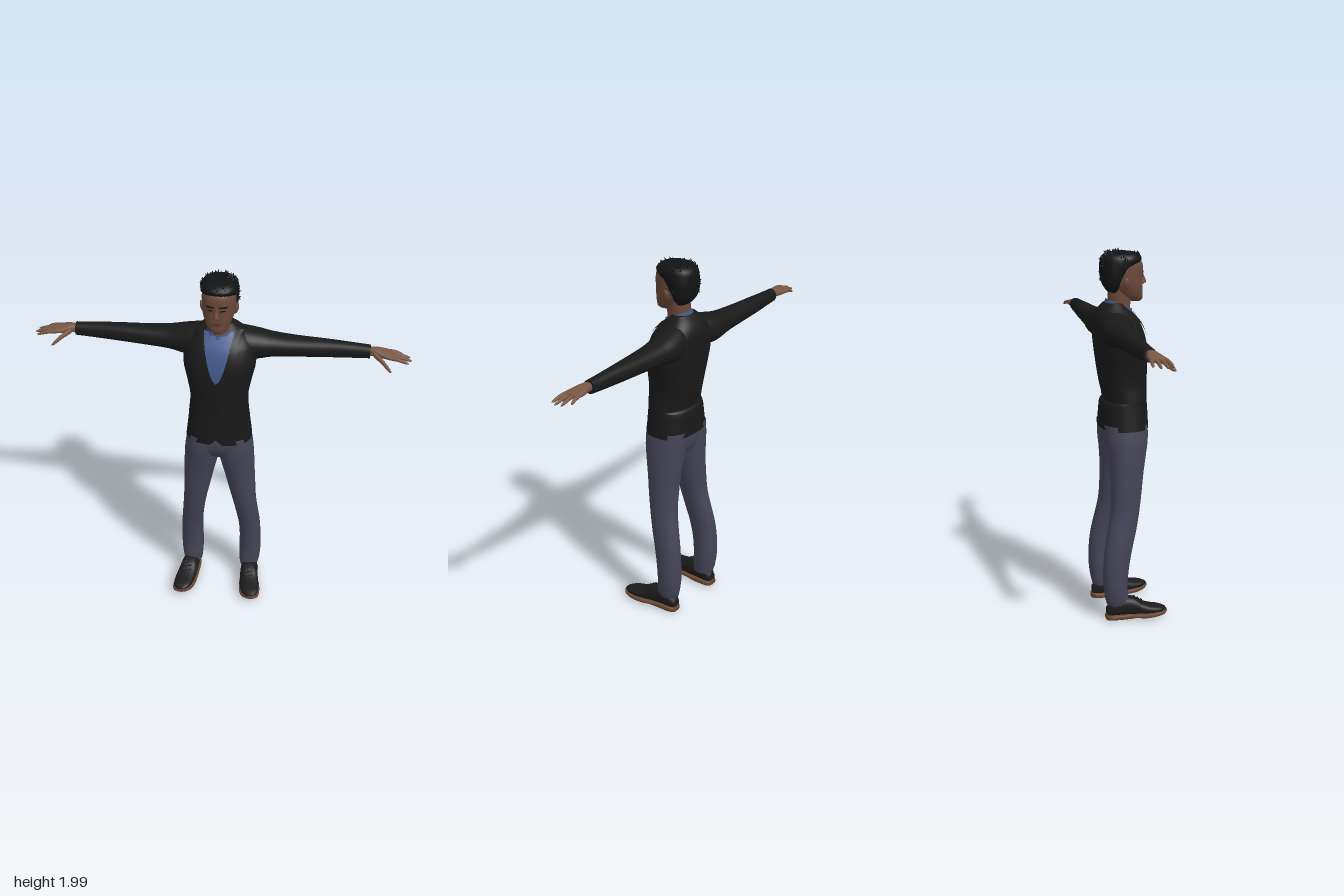
import * as THREE from 'three';
import { mergeGeometries } from 'three/addons/utils/BufferGeometryUtils.js';

const mat = (name, color) => Object.assign(new THREE.MeshStandardMaterial({ color }), { name });
const M = {
  jacket: mat('jacket black', 0x191919),
  trousers: mat('trouser slate', 0x454457),
  shirt: mat('shirt blue', 0x43598a),
  face: mat('face skin', 0x694838),
  hand: mat('hand skin', 0x785745),
  lips: mat('lip brown', 0x553229),
  hair: mat('hair black', 0x121314),
  shoe: mat('shoe black', 0x1b1b1d),
  sole: mat('sole brown', 0x6a4631),
};

// Rows are [t, u0, u1, v0, v1]: extents of a cross-section at position t.
function at(rows, t) {
  const last = rows.length - 1;
  let i = 0;
  while (i < last - 1 && t > rows[i + 1][0]) i++;
  const a = rows[i], b = rows[i + 1], h = b[0] - a[0];
  const s = Math.min(1, Math.max(0, (t - a[0]) / h));
  const slope = (j, k) => {
    const p = rows[Math.max(0, j - 1)], q = rows[Math.min(last, j + 1)];
    return (q[k] - p[k]) / (q[0] - p[0]);
  };
  return [1, 2, 3, 4].map(k =>
    a[k] * (1 + 2 * s) * (1 - s) ** 2 + b[k] * s * s * (3 - 2 * s) +
    h * s * (1 - s) * (slope(i, k) * (1 - s) - slope(i + 1, k) * s));
}

// Smooth loft of superellipse sections along an axis
function loft(axis, rows, { n = 2.2, segs = 28, sub = 4, caps = true } = {}) {
  const pos = [], idx = [], flip = axis === 'y';
  const put = (t, u, v) => pos.push(...(axis === 'x' ? [t, u, v] : axis === 'y' ? [u, t, v] : [u, v, t]));
  const tri = (a, b, c) => (flip ? idx.push(a, c, b) : idx.push(a, b, c));
  const ts = [rows[0][0]];
  for (let i = 1; i < rows.length; i++)
    for (let k = 1; k <= sub; k++) ts.push(rows[i - 1][0] + (rows[i][0] - rows[i - 1][0]) * k / sub);
  const pw = c => Math.sign(c) * Math.abs(c) ** (2 / n);
  const ring = t => {
    const [u0, u1, v0, v1] = at(rows, t), start = pos.length / 3;
    for (let j = 0; j < segs; j++) {
      const th = j / segs * Math.PI * 2;
      put(t, (u0 + u1) / 2 + (u1 - u0) / 2 * pw(Math.cos(th)), (v0 + v1) / 2 + (v1 - v0) / 2 * pw(Math.sin(th)));
    }
    return start;
  };
  const starts = ts.map(ring);
  for (let i = 0; i + 1 < starts.length; i++)
    for (let j = 0; j < segs; j++) {
      const k = (j + 1) % segs, p = starts[i], q = starts[i + 1];
      tri(p + j, p + k, q + k);
      tri(p + j, q + k, q + j);
    }
  if (caps) [ts[0], ts[ts.length - 1]].forEach((t, end) => {
    const s = ring(t), [u0, u1, v0, v1] = at(rows, t), c = pos.length / 3;
    put(t, (u0 + u1) / 2, (v0 + v1) / 2);
    for (let j = 0; j < segs; j++) {
      const k = (j + 1) % segs;
      end ? tri(c, s + j, s + k) : tri(c, s + k, s + j);
    }
  });
  return build(pos, idx);
}

function build(pos, idx) {
  const g = new THREE.BufferGeometry();
  g.setAttribute('position', new THREE.Float32BufferAttribute(pos, 3));
  g.setIndex(idx);
  g.computeVertexNormals();
  return g;
}

// Thin panel that follows the front of a y-axis loft
function panel(rows, n, y0, y1, left, right, lift, N = 14) {
  const pos = [], idx = [];
  for (let i = 0; i <= N; i++) for (let j = 0; j <= N; j++) {
    const y = y0 + (y1 - y0) * i / N, l = left(y), x = l + (right(y) - l) * j / N;
    const [x0, x1, z0, z1] = at(rows, y);
    const f = Math.min(0.97, Math.abs(x / ((x1 - x0) / 2)));
    pos.push(x, y, (z0 + z1) / 2 + (z1 - z0) / 2 * (1 - f ** n) ** (1 / n) + lift);
    if (i < N && j < N) {
      const a = i * (N + 1) + j, d = a + N + 1;
      idx.push(a, a + 1, d + 1, a, d + 1, d);
    }
  }
  return build(pos, idx);
}

function mirrored(geo) {
  const g = geo.clone().scale(-1, 1, 1), ix = g.index.array;
  for (let i = 0; i < ix.length; i += 3) [ix[i], ix[i + 1]] = [ix[i + 1], ix[i]];
  g.computeVertexNormals();
  return g;
}

export function createModel() {
  const model = new THREE.Group();
  model.name = 'standingMan';
  const add = (name, geo, m) => {
    const mesh = new THREE.Mesh(geo, m);
    mesh.name = name;
    model.add(mesh);
  };
  const pair = (name, geo, m) => { add('left' + name, geo, m); add('right' + name, mirrored(geo), m); };
  const sym = rows => rows.map(([y, w, z0, z1]) => [y, -w, w, z0, z1]);

  // Jacket body
  const torso = sym([[1.045, .177, -.145, .115], [1.12, .168, -.14, .112], [1.185, .161, -.132, .108],
    [1.197, .16, -.119, .108], [1.3, .153, -.14, .108], [1.4, .17, -.155, .11], [1.5, .19, -.166, .104],
    [1.6, .178, -.172, .075], [1.65, .148, -.162, .04], [1.69, .1, -.138, .005], [1.715, .07, -.112, -.02]]);
  add('jacketBody', loft('y', torso, { n: 2.4, segs: 48 }), M.jacket);
  pair('Sleeve', loft('x', [[.08, 1.53, 1.685, -.15, 0], [.14, 1.505, 1.672, -.168, .012], [.2, 1.507, 1.658, -.17, 0],
    [.27, 1.52, 1.643, -.162, -.016], [.4, 1.528, 1.633, -.15, -.03], [.55, 1.534, 1.629, -.138, -.045],
    [.7, 1.542, 1.622, -.125, -.055], [.775, 1.547, 1.618, -.12, -.056]]), M.jacket);

  // Shirt front, lapels, hem notch and buttons
  const vee = y => .078 * Math.max(0, (y - 1.43) / .25) ** .6;
  add('shirtFront', panel(torso, 2.4, 1.43, 1.685, y => -vee(y), vee, .004), M.shirt);
  pair('Lapel', panel(torso, 2.4, 1.42, 1.69, vee, y => vee(y) + .045 * Math.min(1, (y - 1.42) / .12), .009), M.jacket);
  add('hemNotch', panel(torso, 2.4, 1.045, 1.08, y => y - 1.08, y => 1.08 - y, .003), M.trousers);
  for (const y of [1.25, 1.36]) {
    add('jacketButton', new THREE.CylinderGeometry(.008, .008, .006, 12).rotateX(Math.PI / 2).translate(0, y, .112), M.hair);
  }

  // Shirt collar, higher at the nape
  const collar = loft('y', sym([[1.61, .076, -.115, .045], [1.66, .07, -.11, .04], [1.695, .064, -.104, .034]]), { caps: false });
  const cp = collar.attributes.position;
  for (let i = 0; i < cp.count; i++) cp.setY(i, cp.getY(i) - .4 * cp.getZ(i));
  collar.computeVertexNormals();
  add('shirtCollar', collar, M.shirt);
  pair('CollarPoint', panel(torso, 2.4, 1.615, 1.675, y => .045 - (y - 1.615) * .7, y => .052 + (y - 1.615) * .3, .013), M.shirt);

  // Neck and head
  add('neck', loft('y', sym([[1.62, .06, -.1, .025], [1.7, .057, -.096, .026], [1.79, .06, -.09, .035]])), M.face);
  const head = sym([[1.718, .022, .03, .082], [1.73, .042, .0, .092], [1.755, .062, -.05, .094], [1.8, .08, -.08, .092],
    [1.84, .085, -.1, .092], [1.88, .087, -.11, .095], [1.92, .085, -.11, .09], [1.95, .072, -.1, .068], [1.972, .04, -.06, .03]]);
  add('head', loft('y', head, { segs: 36 }), M.face);
  add('nose', loft('y', [[1.806, -.009, .009, .08, .098], [1.814, -.017, .017, .075, .112], [1.824, -.014, .014, .075, .114],
    [1.85, -.009, .009, .075, .103], [1.872, -.008, .008, .075, .096]], { segs: 14 }), M.face);
  pair('Ear', new THREE.SphereGeometry(1, 14, 10).scale(.012, .032, .02).rotateZ(-.2).translate(.087, 1.822, -.015), M.face);
  const face = (y0, y1, x0, x1) => panel(head, 2.2, y0, y1, () => x0, () => x1, .002, 4);
  pair('Eyebrow', face(1.871, 1.88, .014, .054), M.hair);
  pair('Eye', face(1.851, 1.858, .02, .046), M.hair);
  add('upperLip', face(1.778, 1.785, -.026, .026), M.lips);
  add('lowerLip', face(1.767, 1.776, -.02, .02), M.lips);

  // Hair cap with tousled tufts
  const cap = sym([[1.772, .055, -.095, -.05], [1.8, .08, -.115, -.035], [1.83, .089, -.127, -.022], [1.87, .094, -.135, .012],
    [1.9, .096, -.136, .036], [1.922, .097, -.135, .07], [1.942, .096, -.132, .086], [1.96, .088, -.122, .078],
    [1.976, .065, -.095, .052], [1.982, .03, -.06, .015]]);
  add('hairCap', loft('y', cap, { n: 2.3, segs: 32 }), M.hair);
  let seed = 7;
  const rnd = () => (seed = (seed * 16807) % 2147483647) / 2147483647;
  const tufts = [], up = new THREE.Vector3(0, 1, 0);
  for (let i = 0; i < 150; i++) {
    const y = 1.81 + .17 * Math.sqrt(rnd()), th = rnd() * Math.PI * 2;
    const [x0, x1, z0, z1] = at(cap, y), c = Math.cos(th), s = Math.sin(th);
    if (s > .1 && y < 1.925) continue;
    const lift = (y - 1.87) * 9;
    const dir = new THREE.Vector3(c * .45 + (rnd() - .5) * .6, lift + (rnd() - .5) * .5, s * .45 + (rnd() - .5) * .5).normalize();
    const g = new THREE.ConeGeometry(.012, .034, 5).applyQuaternion(new THREE.Quaternion().setFromUnitVectors(up, dir));
    g.translate(x1 * .95 * c, y, (z0 + z1) / 2 + (z1 - z0) / 2 * .95 * s);
    tufts.push(g);
  }
  add('hairTufts', mergeGeometries(tufts), M.hair);

  // Hands: palm, four fingers and thumb
  pair('Palm', loft('x', [[.755, 1.56, 1.605, -.108, -.066], [.8, 1.565, 1.61, -.112, -.056], [.84, 1.564, 1.602, -.121, -.042],
    [.88, 1.566, 1.593, -.12, -.032], [.897, 1.572, 1.588, -.112, -.04]], { n: 2.6 }), M.hand);
  const finger = (a, b, r) => loft('x', [0, .5, .88, 1].map((s, i) => {
    const [x, y, z] = a.map((v, k) => v + (b[k] - v) * s), q = r * [1, .9, .65, .2][i];
    return [x, y - q + (i === 1 ? .004 : 0), y + q + (i === 1 ? .004 : 0), z - q, z + q];
  }), { segs: 12, sub: 3 });
  [[-.111, .94, -.12], [-.088, .98, -.092], [-.065, .99, -.06], [-.043, .975, -.03]].forEach(([z, tip, zt], i) =>
    pair('Finger' + (i + 1), finger([.872, 1.58, z], [tip, 1.562, zt], .0105), M.hand));
  pair('Thumb', finger([.795, 1.583, -.066], [.89, 1.525, .006], .016), M.hand);

  // Trousers
  add('trouserSeat', loft('y', sym([[.905, .02, -.07, .02], [.94, .1, -.11, .07], [1, .165, -.13, .097], [1.07, .168, -.135, .1]])), M.trousers);
  pair('TrouserLeg', loft('y', [[.085, .112, .212, -.146, -.036], [.12, .108, .221, -.155, -.03], [.2, .105, .228, -.165, -.034],
    [.3, .108, .226, -.165, -.024], [.4, .103, .221, -.155, -.005], [.5, .09, .211, -.135, .02], [.6, .072, .202, -.116, .04],
    [.7, .05, .198, -.111, .055], [.8, .028, .194, -.112, .068], [.9, .004, .19, -.12, .085], [.98, -.01, .184, -.13, .098],
    [1.07, -.01, .17, -.135, .1]]), M.trousers);

  // Shoes with soles and laces
  pair('Shoe', loft('z', [[-.147, .143, .193, .02, .07], [-.12, .127, .208, .02, .1], [-.06, .125, .215, .02, .125],
    [0, .125, .225, .02, .118], [.04, .128, .235, .022, .092], [.09, .135, .243, .025, .075], [.14, .15, .241, .03, .066],
    [.172, .178, .22, .038, .055]], { n: 2.4 }), M.shoe);
  pair('Sole', loft('z', [[-.152, .145, .195, 0, .03], [-.13, .125, .212, 0, .03], [-.03, .122, .22, .002, .03],
    [.0, .122, .23, .008, .031], [.06, .126, .245, .006, .034], [.12, .137, .249, .012, .039], [.16, .158, .24, .022, .044],
    [.178, .184, .218, .03, .047]], { n: 4 }), M.sole);
  for (const [z, y] of [[.005, .116], [.025, .104], [.045, .092]])
    pair('Lace', new THREE.BoxGeometry(.045, .006, .008).rotateX(.5).translate(.178, y, z), M.jacket);

  return model;
}
